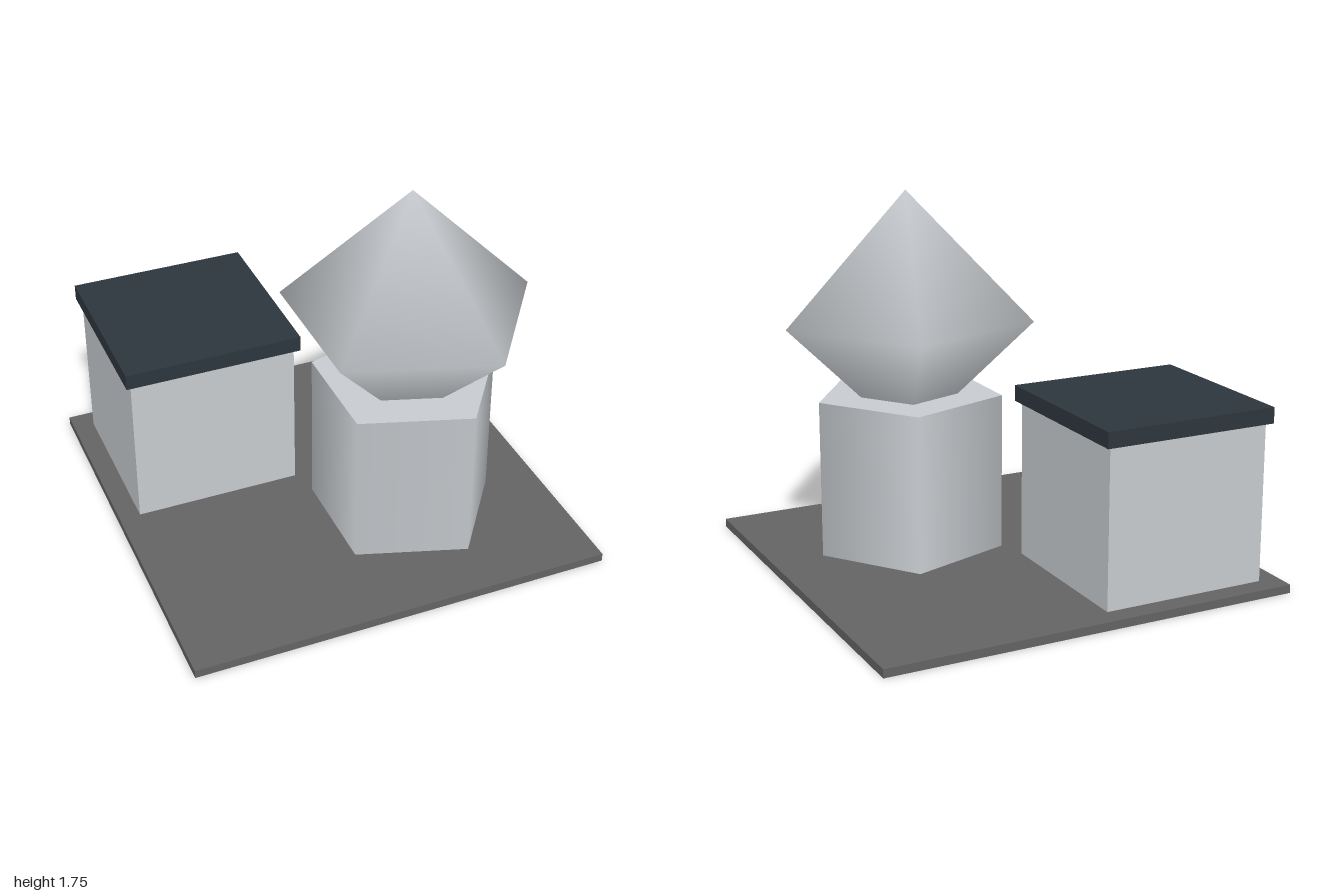
import * as THREE from 'three';

export function createModel() {
  const group = new THREE.Group();
  const material = (name, color) => {
    const m = new THREE.MeshStandardMaterial({ color });
    m.name = name;
    return m;
  };
  const paleGrey = material('paleGrey', 0xc8ccd0);
  const slate = material('slate', 0x2d363e);
  const darkGrey = material('darkGrey', 0x646464);

  const add = (name, geometry, mat, x, y, z) => {
    const mesh = new THREE.Mesh(geometry, mat);
    mesh.name = name;
    mesh.position.set(x, y, z);
    group.add(mesh);
    return mesh;
  };

  // Ground slab
  add('basePlate', new THREE.BoxGeometry(2, 0.04, 2), darkGrey, 0, 0.02, 0);

  // Square building with an overhanging flat roof
  add('building', new THREE.BoxGeometry(0.8, 0.75, 0.8), paleGrey, -0.5, 0.415, -0.5);
  add('roof', new THREE.BoxGeometry(0.85, 0.075, 0.85), slate, -0.5, 0.8275, -0.5);

  // Five-sided smooth tower, one corner towards +x
  const tower = new THREE.CylinderGeometry(0.45, 0.45, 0.75, 5, 1, false, Math.PI / 2);
  add('tower', tower, paleGrey, 0.3, 0.415, 0.3);

  // Five-sided smooth dome sunk into the tower, one corner towards +x
  const dome = new THREE.SphereGeometry(0.6, 5, 2, Math.PI);
  add('dome', dome, paleGrey, 0.3, 1.15, 0.3);

  return group;
}
